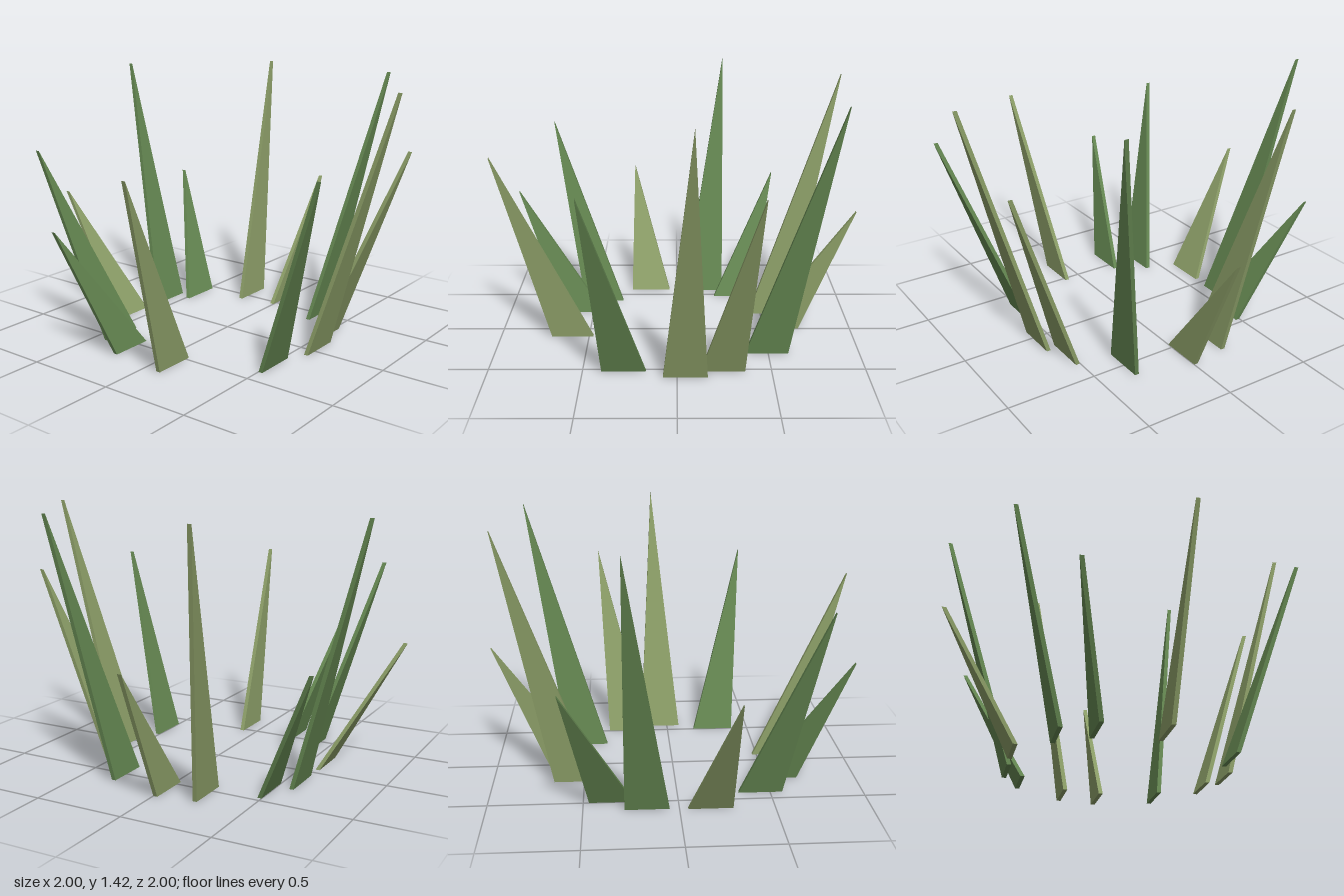
import * as THREE from 'three';

const BASE_WIDTH = 0.235;
const THICKNESS = 0.023;

const olive = new THREE.MeshStandardMaterial({ color: 0x8a9c66, flatShading: true });
const green = new THREE.MeshStandardMaterial({ color: 0x638550, flatShading: true });

// One thin triangular blade: an upright triangle, sheared so that its tip leans in z.
function makeBlade(baseX, baseZ, tipX, tipZ, height, material) {
  const outline = new THREE.Shape();
  outline.moveTo(baseX - BASE_WIDTH / 2, 0);
  outline.lineTo(baseX + BASE_WIDTH / 2, 0);
  outline.lineTo(tipX, height);
  outline.closePath();
  const geometry = new THREE.ExtrudeGeometry(outline, { depth: THICKNESS, bevelEnabled: false });
  const pos = geometry.attributes.position;
  for (let i = 0; i < pos.count; i++) {
    const t = pos.getY(i) / height;
    pos.setZ(i, pos.getZ(i) - THICKNESS / 2 + THREE.MathUtils.lerp(baseZ, tipZ, t));
  }
  geometry.computeVertexNormals();
  return new THREE.Mesh(geometry, material);
}

export function createModel() {
  const group = new THREE.Group();
  group.name = 'grassTuft';

  const SHORT = 0.71, MEDIUM = 1.065, TALL = 1.42;

  // Ring of blades: base centre x, z; tip x, z; height; colour
  const blades = [
    [0.583, -0.012, 1.0, -0.012, SHORT, olive],
    [0.492, 0.305, 0.838, 0.526, TALL, green],
    [0.242, 0.514, 0.415, 0.89, MEDIUM, olive],
    [0.043, 0.579, 0.078, 0.988, TALL, olive],
    [-0.283, 0.512, -0.472, 0.877, MEDIUM, green],
    [-0.593, 0.09, -1.0, 0.157, MEDIUM, olive],
    [-0.557, -0.243, -0.937, -0.397, SHORT, green],
    [-0.448, -0.416, -0.75, -0.695, MEDIUM, green],
    [-0.163, -0.591, -0.27, -0.988, SHORT, olive],
    [0.168, -0.582, 0.29, -0.973, TALL, green],
    [0.352, -0.488, 0.602, -0.813, SHORT, green],
    [0.547, -0.222, 0.935, -0.357, TALL, olive],
  ];
  blades.forEach((b, i) => {
    const blade = makeBlade(...b);
    blade.name = `grassBlade${i + 1}`;
    group.add(blade);
  });
  return group;
}
